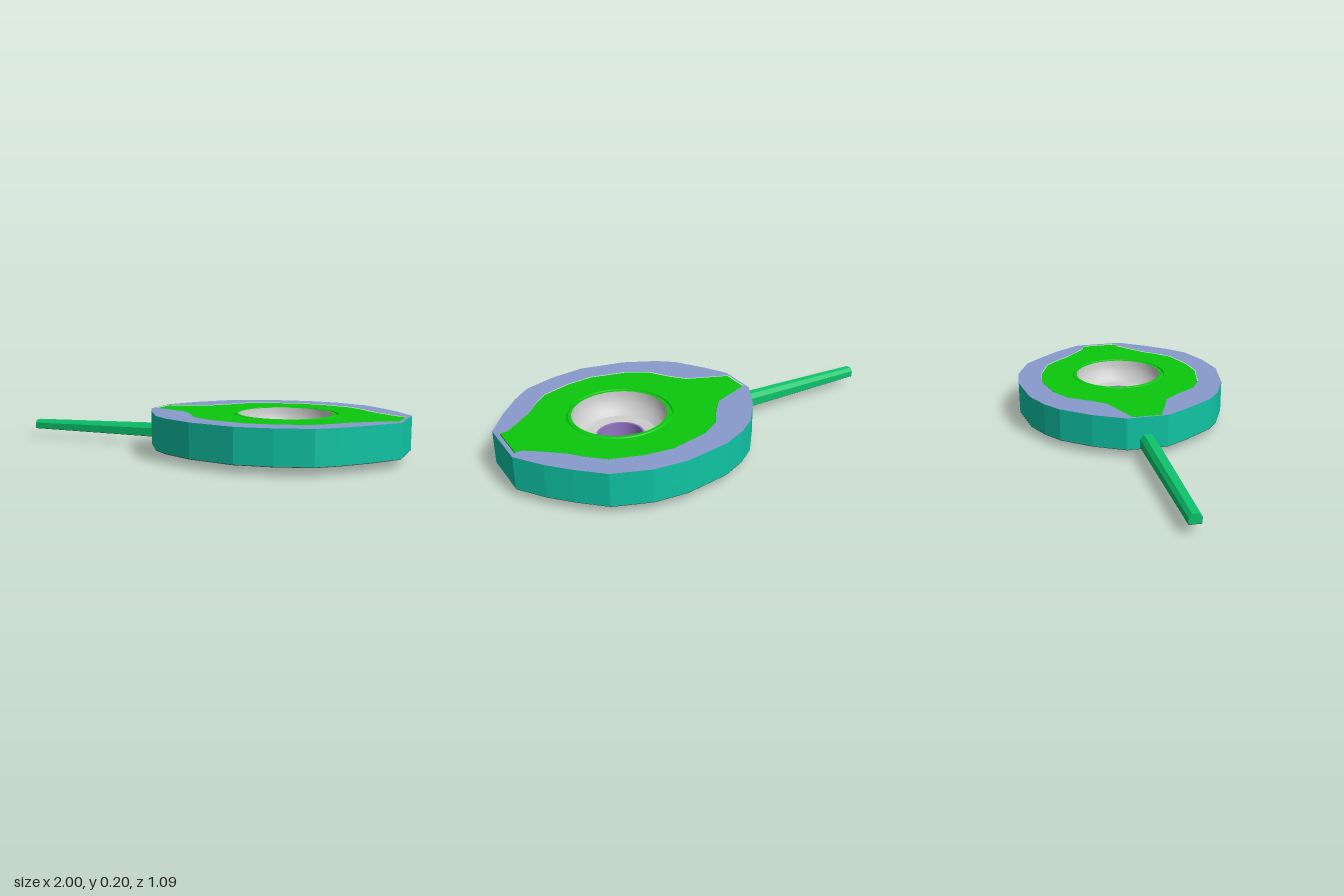
import * as THREE from 'three';

const CX = 0.43; // axis of the bore
const mat = (color, side = THREE.FrontSide) => new THREE.MeshStandardMaterial({ color, side });

// Outline halves as [x, z], running from the handle end to the nose
const BACK = [[-0.24, -0.1], [-0.16, -0.25], [-0.05, -0.39], [0.04, -0.455], [0.16, -0.51], [0.38, -0.545],
  [0.54, -0.53], [0.71, -0.465], [0.82, -0.36], [0.91, -0.26], [1, -0.13]];
const FRONT = [[-0.24, 0.1], [-0.18, 0.21], [-0.08, 0.36], [0, 0.425], [0.155, 0.5], [0.38, 0.545],
  [0.55, 0.52], [0.71, 0.465], [0.8, 0.385], [0.9, 0.27], [1, 0.13]];
const INLAY = [[-0.23, -0.07], [-0.13, -0.11], [-0.03, -0.15], [0.03, -0.22], [0.1, -0.325], [0.2, -0.385],
  [0.38, -0.425], [0.51, -0.41], [0.66, -0.36], [0.735, -0.29], [0.79, -0.225], [0.885, -0.145],
  [0.945, -0.1], [0.98, -0.1]];

const flip = (pts) => pts.map(([x, z]) => [x, -z]);
const loop = (back, front) => [...back, ...[...front].reverse()];
const inset = (pts, s) => pts.map(([x, z]) => [0.38 + (x - 0.38) * s, z * s]);
const toVectors = (pts) => pts.map(([x, z]) => new THREE.Vector2(x, -z));

// Upright slab from a plan outline, with an optional inner outline or bore
function slab(name, pts, y0, y1, material, { hole, bore } = {}) {
  const shape = new THREE.Shape(toVectors(pts));
  if (hole) shape.holes.push(new THREE.Path(toVectors(hole)));
  if (bore) shape.holes.push(new THREE.Path().absarc(CX, 0, bore, 0, Math.PI * 2, true));
  const geo = new THREE.ExtrudeGeometry(shape, { depth: y1 - y0, bevelEnabled: false, curveSegments: 24 });
  geo.rotateX(-Math.PI / 2).translate(0, y0, 0);
  const mesh = new THREE.Mesh(geo, material);
  mesh.name = name;
  return mesh;
}

function turned(name, profile, material) {
  // Each segment is turned alone so that steps stay crisp
  const group = new THREE.Group();
  group.name = name;
  for (const part of profile) {
    const geo = new THREE.LatheGeometry(part.map(([r, y]) => new THREE.Vector2(r, y)), 48);
    group.add(new THREE.Mesh(geo, material));
  }
  group.position.x = CX;
  return group;
}

const steps = (pts) => pts.slice(1).map((p, i) => [pts[i], p]);

function makeHandle(green, dark) {
  const group = new THREE.Group();
  group.name = 'handle';
  const section = new THREE.Shape([[-1, 0], [1, 0], [1, 0.65], [0.5, 1], [-0.5, 1], [-1, 0.65]]
    .map(([x, y]) => new THREE.Vector2(x, y)));
  const geo = new THREE.ExtrudeGeometry(section, { depth: 0.78, bevelEnabled: false });
  geo.rotateY(Math.PI / 2).translate(-1, 0, 0);
  // Taper towards the tip
  const p = geo.attributes.position;
  for (let i = 0; i < p.count; i++) {
    const t = (p.getX(i) + 1) / 0.78;
    p.setY(i, 0.047 + p.getY(i) * (0.045 + 0.02 * t));
    p.setZ(i, p.getZ(i) * (0.029 + 0.008 * t));
  }
  geo.computeVertexNormals();
  const bar = new THREE.Mesh(geo, green);
  bar.name = 'handleBar';
  const sole = slab('handleSole', [[-1, -0.028], [-0.23, -0.036], [-0.23, 0.036], [-1, 0.028]], 0.045, 0.048, dark);
  group.add(bar, sole);
  return group;
}

export function createModel() {
  const model = new THREE.Group();
  const blue = mat(0x8899cc), teal = mat(0x0fc4a4), green = mat(0x0cc80e);
  const dark = mat(0x444444), purple = mat(0x9575c4, THREE.DoubleSide);
  const grey = mat(0xcccccc, THREE.DoubleSide);

  const outline = loop(BACK, FRONT);
  const inlay = loop(INLAY, flip(INLAY));

  // Body rim with the shaped inlay set into its top
  model.add(slab('bodyRim', outline, 0.04, 0.2, [blue, teal], { hole: inlay }));
  model.add(slab('topInlay', inset(inlay, 0.992), 0.04, 0.198, green, { bore: 0.25 }));
  model.add(turned('boreRing', steps([[0.25, 0.198], [0.247, 0.192], [0.24, 0.198], [0.225, 0.198]]),
    mat(0x0cc80e, THREE.DoubleSide)));

  // Underside: dark base, two crescents and a central plate
  model.add(slab('basePlate', inset(outline, 0.998), 0.037, 0.041, dark, { bore: 0.2 }));
  const inner = INLAY.slice(2, -2);
  [['backCrescent', BACK, inner], ['frontCrescent', FRONT, flip(inner)]].forEach(([name, rim, edge]) =>
    model.add(slab(name, loop(inset(rim, 0.94), inset(edge, 1.02)), 0.035, 0.038, purple)));
  const middle = INLAY.slice(2, -3);
  model.add(slab('centrePlate', loop(middle, flip(middle)), 0.034, 0.038, purple, { bore: 0.2 }));

  // Dished bore and the collar below it
  model.add(turned('boreDish', [
    [[0.228, 0.198], [0.225, 0.17], [0.215, 0.14], [0.195, 0.11], [0.17, 0.09]],
    [[0.17, 0.09], [0.115, 0.082]],
  ], grey));
  model.add(turned('collar', steps([[0.2, 0.034], [0.2, 0.05], [0.168, 0.05], [0.168, 0], [0.15, 0],
    [0.14, 0.035], [0.118, 0.035], [0.118, 0.01], [0.106, 0.01], [0.106, 0.084], [0.116, 0.084]]), purple));

  model.add(makeHandle(mat(0x0cc46c), dark));
  return model;
}
